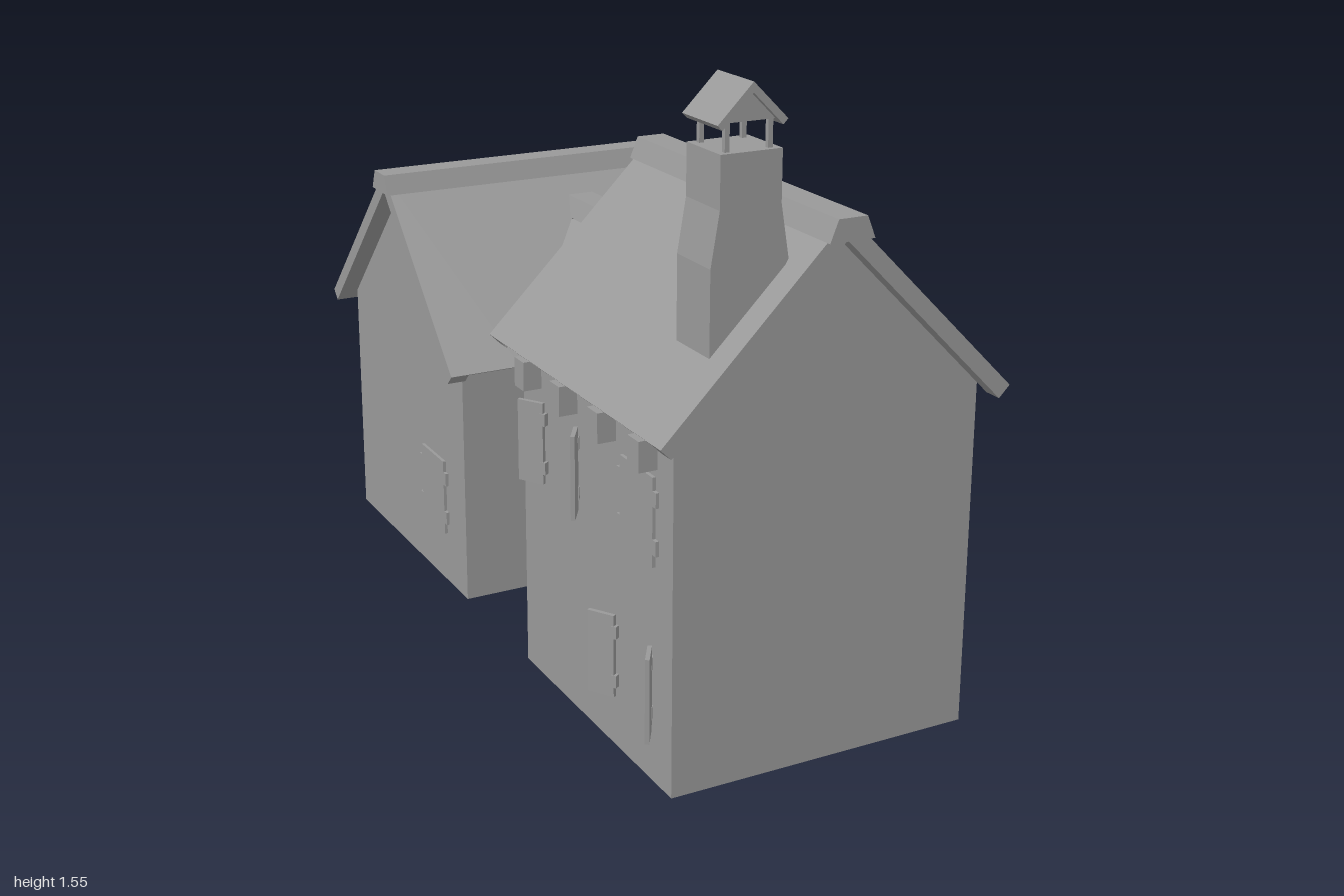
import * as THREE from 'three';

const T = 0.035; // roof edge board thickness
const SHEET = 0.003; // roof covering thickness
const V3 = (x, y, z) => new THREE.Vector3(x, y, z);

export function createModel() {
  const house = new THREE.Group();
  house.name = 'cutawayHouse';
  const mat = new THREE.MeshStandardMaterial({ color: 0x999999, flatShading: true, side: THREE.DoubleSide });

  const add = (name, geo, parent = house) => {
    const m = new THREE.Mesh(geo, mat);
    m.name = name;
    parent.add(m);
    return m;
  };
  const shape = (pts) => new THREE.Shape(pts.map((p) => new THREE.Vector2(p[0], p[1])));
  const box = (name, w, h, d, x, y, z, parent) =>
    add(name, new THREE.BoxGeometry(w, h, d).translate(x, y, z), parent);
  const extrude = (pts, depth) => new THREE.ExtrudeGeometry(shape(pts), { depth, bevelEnabled: false });

  // flat walls: points are (x, y) on a z plane, or (z, y) on an x plane
  const wallZ = (name, z, pts, parent) =>
    add(name, new THREE.ShapeGeometry(shape(pts)).translate(0, 0, z), parent);
  const wallX = (name, x, pts) =>
    add(name, new THREE.ShapeGeometry(shape(pts)).rotateY(-Math.PI / 2).translate(x, 0, 0));

  // open shell along z: clockwise profile in (x, y), closed at both ends, open from last point to first
  function shell(name, pts, z0, z1, parent) {
    const pos = [];
    for (let i = 0; i < pts.length - 1; i++) {
      const [a, b] = [pts[i], pts[i + 1]];
      pos.push(...a, z0, ...a, z1, ...b, z1, ...a, z0, ...b, z1, ...b, z0);
    }
    const geo = new THREE.BufferGeometry();
    geo.setAttribute('position', new THREE.Float32BufferAttribute(pos, 3));
    geo.computeVertexNormals();
    add(name, geo, parent);
    for (const z of [z0, z1]) wallZ(name + 'End', z, pts, parent);
  }

  // 45 degree roof board: points are (world position along ridge, horizontal distance from ridge)
  function slope(name, apex, h, pts, t = SHEET, parent = house) {
    const up = V3(0, 1, 0);
    const ridge = h.clone().cross(up);
    const down = h.clone().sub(up).normalize();
    const normal = h.clone().add(up).normalize();
    const sign = ridge.x + ridge.z;
    const geo = extrude(pts.map(([u, d]) => [u * sign, d * Math.SQRT2]), t).translate(0, 0, -t);
    geo.applyMatrix4(new THREE.Matrix4().makeBasis(ridge, down, normal).setPosition(apex));
    return add(name, geo, parent);
  }
  const rect = (u0, u1, d) => [[u0, 0], [u1, 0], [u1, d], [u0, d]];

  // ridge cap profile, open on the cutaway side
  const capProfile = (x, y) => [[x + 0.055, y - 0.05], [x - 0.055, y - 0.05], [x - 0.035, y], [x + 0.035, y]];

  // ---------- front house: open on its left side ----------
  wallZ('frontGableWall', 0.94, [[-0.38, 0], [0.38, 0], [0.38, 0.835], [0, 1.215], [-0.38, 0.835]]);
  wallX('frontHouseSideWall', -0.38, [[0.2, 0], [0.94, 0], [0.94, 0.835], [0.2, 0.835]]);
  wallZ('frontHouseRearGable', 0.2, [
    [-0.38, 0], [-0.19, 0], [-0.19, 0.64], [0, 0.83], [0.38, 0.83], [0, 1.215], [-0.38, 0.835],
  ]);
  const frontApex = V3(0, 1.265, 0);
  slope('frontRoofSlope', frontApex, V3(-1, 0, 0), rect(0.13, 0.985, 0.435));
  for (const z of [0.13, 0.94]) {
    slope('frontRoofEdgeBoard', frontApex, V3(-1, 0, 0), rect(z, z + 0.045, 0.435), T);
    // on the open side only the soffit and its upright faces remain
    slope('frontRoofSoffit', V3(0, 1.215, 0), V3(1, 0, 0), rect(z, z + 0.045, 0.41));
    for (const face of [z, z + 0.045])
      wallZ('frontBargeBoard', face, [[0, 1.215], [0.41, 0.805], [0.435, 0.83], [0, 1.265]]);
  }
  shell('frontRidgeCap', capProfile(0, 1.265), 0.12, 1);

  // ---------- middle link ----------
  wallX('linkWall', -0.19, [[-0.18, 0], [0.2, 0], [0.2, 0.64], [-0.18, 0.64]]);
  slope('linkRoofSlope', V3(0.1, 0.98, 0), V3(-1, 0, 0), [
    [0.2, 0], [0.2, 0.34], [-0.13, 0.34], [-0.375, 0.095], [-0.555, 0.095], [-0.37, 0.04], [-0.37, 0],
  ]);
  shell('linkRidgeCap', capProfile(0.1, 0.98), -0.62, 0.255);

  // ---------- back house: ridge runs across, open on its left side ----------
  wallZ('backHouseRearWall', -0.945, [[-0.38, 0], [0.38, 0], [0.38, 0.64], [-0.38, 0.64]]);
  wallZ('backHouseFrontWall', -0.18, [[-0.38, 0], [-0.19, 0], [-0.19, 0.64], [-0.38, 0.64]]);
  wallX('backHouseGable', -0.38, [
    [-0.945, 0], [-0.18, 0], [-0.18, 0.685], [-0.565, 1.07], [-0.945, 0.69],
  ]);
  const backApex = V3(0, 1.075, -0.565);
  slope('backRoofRearSlope', backApex, V3(0, 0, -1), rect(-0.43, 0.425, 0.435), T);
  slope('backRoofEdgeBoard', backApex, V3(0, 0, 1), rect(-0.43, -0.382, 0.435), T);
  // front slope has a valley cut where the link roof meets it
  slope('backRoofFrontSlope', backApex, V3(0, 0, 1), [
    [-0.43, 0], [0.425, 0], [0.425, 0.435], [0.38, 0.435], [0.38, 0.375], [0.19, 0.185],
    [0.15, 0.185], [0.1, 0.1], [0.04, 0.155], [-0.24, 0.435], [-0.43, 0.435],
  ]);
  add('backRidgeCap', extrude([[-0.055, 1.025], [0.055, 1.025], [0.035, 1.075], [-0.035, 1.075]], 0.88)
    .translate(0, 0, -0.44).rotateY(Math.PI / 2).translate(0, 0, -0.565));

  // ---------- beam ends under the eaves ----------
  for (let i = 0; i < 4; i++) {
    box('rearBeamEnd', 0.05, 0.07, 0.045, 0.28 - i * 0.19, 0.585, -0.97);
    box('sideBeamEnd', 0.045, 0.07, 0.05, -0.405, 0.775, 0.28 + i * 0.19);
  }
  for (const z of [-0.05, 0.14]) box('linkBeamEnd', 0.045, 0.07, 0.05, -0.215, 0.585, z);

  // ---------- chimney ----------
  const chimney = new THREE.Group();
  chimney.name = 'chimney';
  house.add(chimney);
  shell('chimneyStack', [
    [-0.285, 0.86], [-0.285, 1.17], [-0.265, 1.29], [-0.265, 1.405],
    [-0.12, 1.405], [-0.12, 1.29], [-0.1, 1.17],
  ], 0.775, 0.915, chimney);
  box('chimneyPanel', 0.01, 0.12, 0.09, -0.12, 1.34, 0.843, chimney);
  for (const x of [-0.243, -0.142])
    for (const z of [0.793, 0.897]) box('chimneyPost', 0.011, 0.075, 0.011, x, 1.44, z, chimney);
  for (const s of [-1, 1])
    slope('chimneyRoof', V3(-0.1925, 1.547, 0), V3(s, 0, 0), rect(0.772, 0.918, 0.082), 0.016, chimney);
  for (const z of [0.785, 0.905])
    wallZ('chimneyRoofGable', z, [[-0.253, 1.465], [-0.132, 1.465], [-0.1925, 1.53]], chimney);

  // ---------- open shutters: hinge z, bottom y, swing direction along z ----------
  function openShutter(z, y, dir) {
    const g = new THREE.Group();
    g.name = 'openShutter';
    g.position.set(-0.394, y, z);
    g.rotation.y = Math.atan2(-dir * 0.06, -0.038);
    house.add(g);
    box('shutterBoard', 0.068, 0.2, 0.01, 0.034, 0.1, 0, g);
    for (const h of [0.04, 0.16]) box('shutterHinge', 0.014, 0.03, 0.014, 0, h, 0, g);
  }
  for (const [z0, z1, y] of [[0.34, 0.51, 0.517], [0.7, 0.865, 0.135]]) {
    openShutter(z0, y, -1);
    openShutter(z1, y, 1);
  }

  // ---------- closed shutters: thin boards with hinge notches ----------
  function closedShutter(z, y) {
    const half = [[0.075, 0], [0.075, 0.03], [0.09, 0.03], [0.09, 0.065], [0.075, 0.065],
      [0.075, 0.14], [0.09, 0.14], [0.09, 0.175], [0.075, 0.175], [0.075, 0.205]];
    const pts = half.concat(half.map(([a, b]) => [-a, b]).reverse());
    add('closedShutter', extrude(pts, 0.008).rotateY(-Math.PI / 2).translate(-0.381, y, z));
  }
  closedShutter(0.79, 0.515);
  closedShutter(-0.38, 0.14);

  return house;
}
